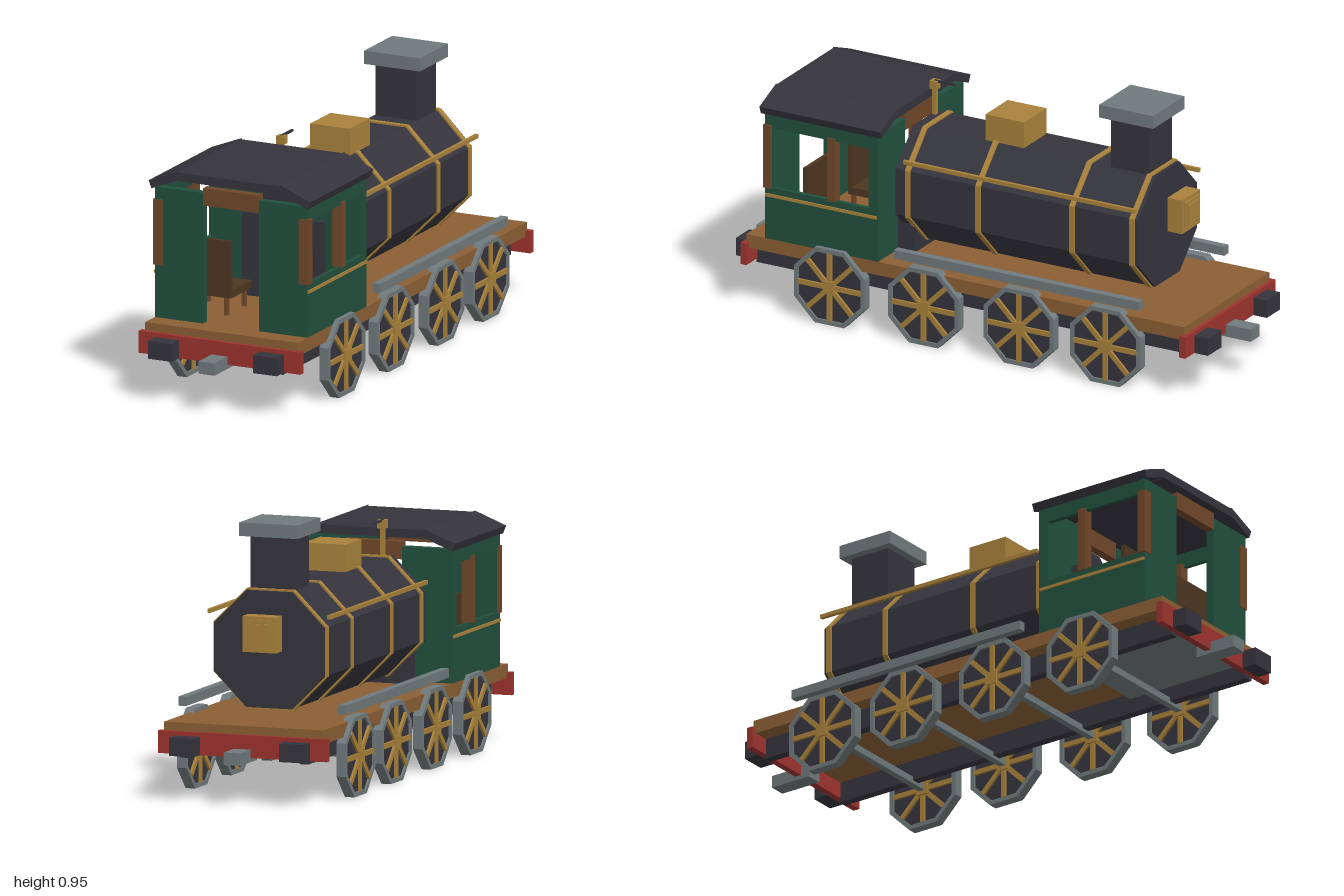
import * as THREE from 'three';

const mat = (name, hex) => {
  const m = new THREE.MeshStandardMaterial({ color: hex });
  m.name = name;
  return m;
};

export function createModel() {
  const dark = mat('dark iron', 0x35343d);
  const green = mat('cab green', 0x214f3d);
  const wood = mat('deck wood', 0x8b5f34);
  const red = mat('beam red', 0x9c332e);
  const steel = mat('steel grey', 0x6f797b);
  const brass = mat('brass', 0xa8813a);
  const brown = mat('trim brown', 0x704729);
  const seatBrown = mat('seat brown', 0x4d3520);

  const model = new THREE.Group();
  model.name = 'steamLocomotive';

  // Box given by its extents on each axis
  const box = (name, m, [x0, x1], [y0, y1], [z0, z1], parent = model) => {
    const mesh = new THREE.Mesh(new THREE.BoxGeometry(x1 - x0, y1 - y0, z1 - z0), m);
    mesh.position.set((x0 + x1) / 2, (y0 + y1) / 2, (z0 + z1) / 2);
    mesh.name = name;
    parent.add(mesh);
    return mesh;
  };
  // The same box on the left and right sides
  const pair = (name, m, [x0, x1], y, z) => {
    box(name + 'Left', m, [x0, x1], y, z);
    box(name + 'Right', m, [-x1, -x0], y, z);
  };

  // Octagonal prism along z with flats on the axes; an inner size makes it a ring
  const octPoints = (apothem) => Array.from({ length: 8 }, (_, i) => {
    const a = (i + 0.5) * Math.PI / 4, r = apothem / Math.cos(Math.PI / 8);
    return new THREE.Vector2(Math.cos(a) * r, Math.sin(a) * r);
  });
  const octagon = (name, m, apothem, inner, z0, z1, parent = model) => {
    const shape = new THREE.Shape(octPoints(apothem));
    if (inner) shape.holes.push(new THREE.Path(octPoints(inner)));
    const geo = new THREE.ExtrudeGeometry(shape, { depth: z1 - z0, bevelEnabled: false });
    const mesh = new THREE.Mesh(geo, m);
    mesh.position.z = z0;
    mesh.name = name;
    parent.add(mesh);
    return mesh;
  };

  // Chassis
  box('deck', wood, [-0.3, 0.3], [0.22, 0.27], [-0.885, 0.885]);
  pair('frameRail', dark, [0.207, 0.24], [0.145, 0.22], [-0.88, 0.88]);
  box('underfloorPlate', steel, [-0.207, 0.207], [0.2, 0.22], [0.38, 0.84]);
  pair('runningBoard', steel, [0.286, 0.315], [0.302, 0.335], [-0.71, 0.28]);
  for (const s of [-1, 1]) {
    const span = (a, b) => (s > 0 ? [a, b] : [-b, -a]);
    box('bufferBeam', red, [-0.318, 0.318], [0.16, 0.24], span(0.875, 0.9));
    pair('buffer', dark, [0.16, 0.254], [0.16, 0.225], span(0.9, 0.955));
    box('coupler', steel, [-0.031, 0.031], [0.145, 0.19], span(0.84, 1));
  }

  // Wheels and axles
  for (const z of [0.54, 0.16, -0.225, -0.575]) {
    box('axle', steel, [-0.29, 0.29], [0.133, 0.158], [z - 0.0125, z + 0.0125]);
    for (const s of [-1, 1]) {
      const wheel = new THREE.Group();
      wheel.name = 'wheel';
      wheel.position.set(s * 0.3, 0.142, z);
      wheel.rotation.y = Math.PI / 2;
      octagon('wheelRim', steel, 0.142, 0.126, -0.018, 0.018, wheel);
      octagon('wheelDisc', dark, 0.127, 0, -0.011, 0.011, wheel);
      for (let i = 0; i < 4; i++) {
        const spoke = box('spoke', brass, [-0.127, 0.127], [-0.009, 0.009], [-0.02, 0.02], wheel);
        spoke.rotation.z = i * Math.PI / 4;
      }
      box('hub', brass, [-0.024, 0.024], [-0.024, 0.024], [-0.025, 0.025], wheel);
      model.add(wheel);
    }
  }

  // Boiler with bands and handrails
  const boiler = new THREE.Group();
  boiler.name = 'boiler';
  boiler.position.y = 0.508;
  model.add(boiler);
  octagon('boilerBarrel', dark, 0.207, 0, -0.645, 0.335, boiler);
  for (const z of [0.285, 0, -0.38, -0.623])
    octagon('boilerBand', brass, 0.213, 0.2, z - 0.01, z + 0.01, boiler);
  pair('handrail', brass, [0.219, 0.232], [0.627, 0.641], [-0.645, 0.292]);
  box('firebox', dark, [-0.16, 0.16], [0.27, 0.572], [0.285, 0.41]);
  box('fireDoor', brass, [-0.085, 0.085], [0.367, 0.493], [0.41, 0.425]);

  // Boiler fittings
  box('chimney', dark, [-0.08, 0.08], [0.69, 0.906], [-0.617, -0.462]);
  box('chimneyCap', steel, [-0.11, 0.11], [0.906, 0.954], [-0.65, -0.432]);
  box('steamDome', brass, [-0.078, 0.078], [0.7, 0.812], [-0.11, 0.046]);
  box('whistleStem', brass, [-0.056, -0.041], [0.71, 0.815], [0.316, 0.331]);
  box('whistleHead', brass, [-0.064, -0.034], [0.812, 0.842], [0.309, 0.338]);
  box('whistleLever', dark, [-0.053, -0.045], [0.836, 0.844], [0.24, 0.325]);
  box('headlamp', brass, [-0.063, 0.063], [0.51, 0.637], [-0.74, -0.682]);
  box('headlampFrame', brass, [-0.05, 0.05], [0.523, 0.624], [-0.747, -0.74]);
  box('headlampLens', brass, [-0.038, 0.038], [0.535, 0.612], [-0.752, -0.747]);

  // Cab walls, window posts and trim
  pair('cabSide', green, [0.284, 0.3], [0.27, 0.465], [0.355, 0.808]);
  pair('cabSideHeader', green, [0.284, 0.3], [0.69, 0.745], [0.355, 0.808]);
  pair('cabFrontWall', green, [0.11, 0.3], [0.27, 0.745], [0.353, 0.391]);
  pair('cabRearWall', green, [0.11, 0.3], [0.27, 0.745], [0.78, 0.81]);
  pair('cabStripe', brass, [0.299, 0.305], [0.43, 0.441], [0.357, 0.808]);
  for (const [z0, z1] of [[0.525, 0.556], [0.782, 0.814]])
    pair('windowPost', brown, [0.267, 0.306], [0.462, 0.7], [z0, z1]);
  box('frontLintel', brown, [-0.11, 0.11], [0.7, 0.763], [0.355, 0.388]);
  box('rearLintel', brown, [-0.11, 0.11], [0.7, 0.763], [0.78, 0.812]);

  // Crew seats
  pair('seatPan', seatBrown, [0.065, 0.25], [0.335, 0.362], [0.52, 0.685]);
  pair('seatBack', seatBrown, [0.065, 0.25], [0.335, 0.542], [0.67, 0.685]);
  for (const x of [0.08, 0.222])
    for (const z of [0.53, 0.667])
      pair('seatLeg', brown, [x, x + 0.014], [0.27, 0.335], [z, z + 0.014]);

  // Roof: flat middle with sloping eaves
  box('roofCentre', dark, [-0.2, 0.2], [0.78, 0.811], [0.335, 0.823]);
  for (const s of [-1, 1]) {
    const eave = box('roofEave', dark, [-0.063, 0.063], [-0.015, 0.015], [0.335, 0.823]);
    eave.position.x = s * 0.254;
    eave.position.y = 0.778;
    eave.rotation.z = -s * 0.38;
  }
  return model;
}
